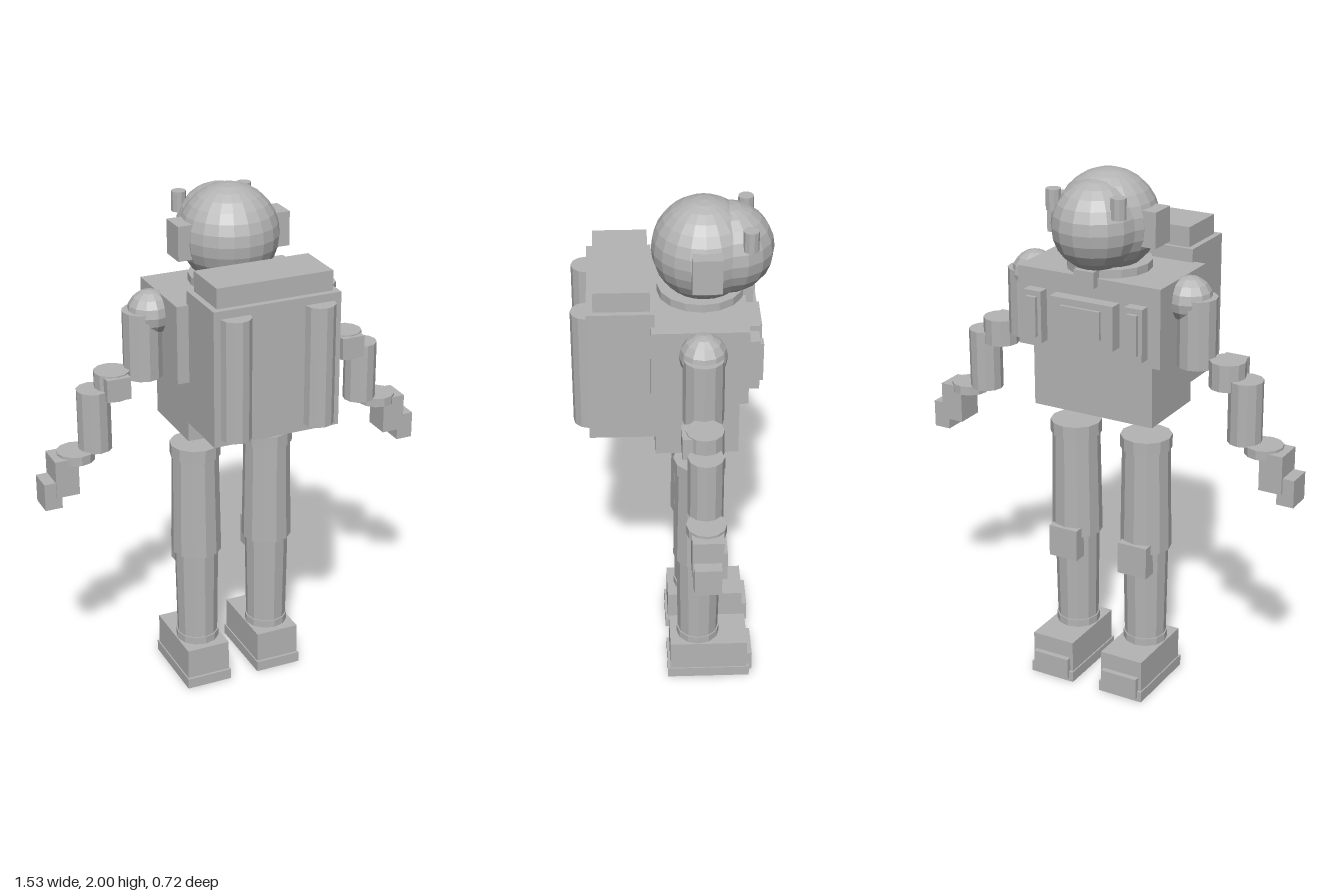
import * as THREE from 'three';

export function createModel() {
  const root = new THREE.Group();
  root.name = 'astronaut';
  const grey = new THREE.MeshStandardMaterial({ color: 0xb4b4b4, flatShading: true });
  grey.name = 'suitGrey';

  const add = (name, geo, x, y, z) => {
    const m = new THREE.Mesh(geo, grey);
    m.name = name;
    m.position.set(x, y, z);
    root.add(m);
    return m;
  };
  // box from min/max extents
  const box = (name, x0, x1, y0, y1, z0, z1) =>
    add(name, new THREE.BoxGeometry(Math.abs(x1 - x0), y1 - y0, z1 - z0),
      (x0 + x1) / 2, (y0 + y1) / 2, (z0 + z1) / 2);
  // upright cylinder between two heights
  const cyl = (name, x, z, y0, y1, rTop, rBottom = rTop, sides = 12) =>
    add(name, new THREE.CylinderGeometry(rTop, rBottom, y1 - y0, sides), x, (y0 + y1) / 2, z);

  // torso
  box('chest', -0.29, 0.29, 1.345, 1.64, -0.257, 0.085);
  box('abdomen', -0.245, 0.245, 1.105, 1.345, -0.23, 0.07);
  cyl('neckRing', 0, -0.1, 1.63, 1.67, 0.155, 0.155, 16);
  box('collarClasp', -0.04, 0.04, 1.61, 1.67, -0.285, -0.22);

  // chest controls
  box('controlPanel', -0.128, 0.128, 1.4, 1.565, -0.305, -0.25);
  box('controlScreen', -0.08, 0.08, 1.435, 1.54, -0.317, -0.3);

  // backpack
  box('backpack', -0.245, 0.245, 1.18, 1.69, 0.07, 0.305);
  box('backpackLid', -0.223, 0.223, 1.69, 1.765, 0.085, 0.282);

  // head
  add('helmet', new THREE.SphereGeometry(0.185, 20, 14), 0, 1.815, -0.11);
  const visor = add('visor', new THREE.SphereGeometry(1, 16, 12), 0, 1.815, -0.195);
  visor.scale.set(0.16, 0.163, 0.163);

  for (const s of [-1, 1]) {
    const side = s > 0 ? 'left' : 'right';
    const sideBox = (name, x0, x1, ...rest) => box(side + name, s * x0, s * x1, ...rest);
    const sideCyl = (name, x, ...rest) => cyl(side + name, s * x, ...rest);

    // helmet fittings, chest strips and tanks
    sideBox('EarUnit', 0.16, 0.22, 1.75, 1.88, -0.165, -0.06);
    sideCyl('HelmetLamp', 0.13, -0.265, 1.87, 1.945, 0.028, 0.028, 10);
    sideBox('ChestStrip', 0.17, 0.24, 1.375, 1.57, -0.298, -0.25);
    sideBox('ChestStripInset', 0.185, 0.225, 1.4, 1.55, -0.312, -0.29);
    sideCyl('Tank', 0.162, 0.305, 1.205, 1.66, 0.057);

    // arm
    add(side + 'Shoulder', new THREE.SphereGeometry(0.085, 12, 8), s * 0.32, 1.565, -0.095);
    sideCyl('UpperArm', 0.352, -0.095, 1.325, 1.58, 0.073);
    sideCyl('Elbow', 0.475, -0.095, 1.265, 1.365, 0.067);
    sideBox('ElbowPad', 0.43, 0.522, 1.275, 1.36, -0.09, -0.015);
    sideCyl('Forearm', 0.548, -0.095, 1.07, 1.305, 0.063, 0.063);
    sideCyl('Wrist', 0.625, -0.095, 1.04, 1.075, 0.071);
    sideBox('Hand', 0.633, 0.722, 0.92, 1.065, -0.152, -0.042);
    sideBox('Fingers', 0.7, 0.766, 0.875, 0.98, -0.143, -0.047);

    // leg
    sideCyl('HipRing', 0.15, -0.095, 0.965, 1.015, 0.097);
    sideCyl('Thigh', 0.15, -0.095, 0.56, 0.97, 0.09, 0.097);
    sideBox('KneePad', 0.09, 0.21, 0.475, 0.6, -0.205, -0.13);
    sideCyl('Shin', 0.15, -0.095, 0.185, 0.565, 0.085, 0.079);
    sideCyl('AnkleRing', 0.15, -0.095, 0.16, 0.195, 0.084);

    // boot
    sideBox('Boot', 0.063, 0.237, 0.04, 0.165, -0.287, 0.015);
    sideBox('Sole', 0.058, 0.242, 0, 0.042, -0.297, 0.025);
    sideBox('ToeCap', 0.075, 0.225, 0.015, 0.098, -0.308, -0.27);
  }
  return root;
}
